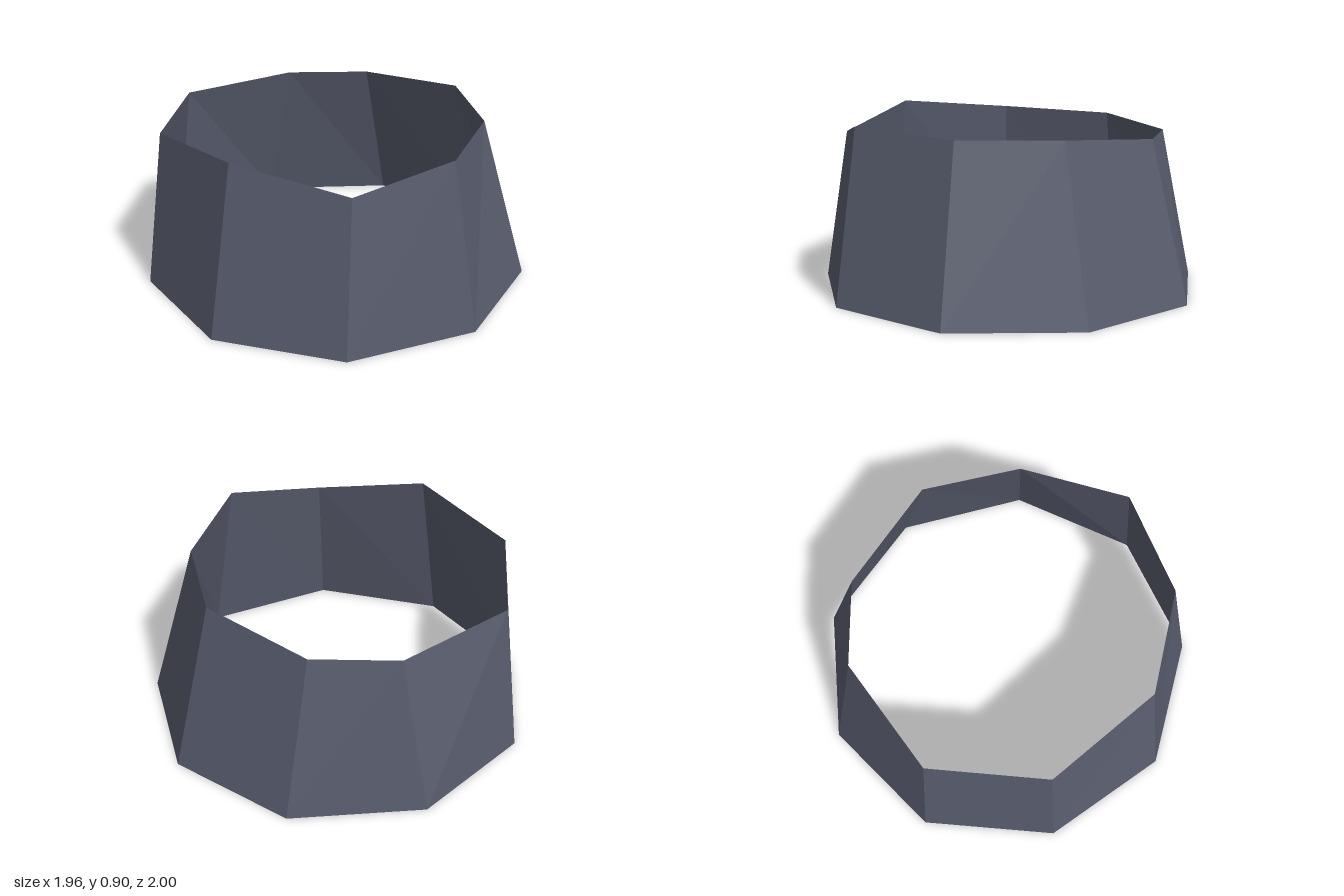
import * as THREE from 'three';

export function createModel() {
  const group = new THREE.Group();
  group.name = 'taperedRing';

  const slate = new THREE.MeshStandardMaterial({ color: 0x575b6c, flatShading: true, side: THREE.DoubleSide });
  slate.name = 'slate';

  // Uneven upper rim, one corner above each corner of the base
  const rim = [
    [0.84, 0.895, 0.04], [0.66, 0.8, 0.54], [0.15, 0.905, 0.85],
    [-0.49, 0.84, 0.785], [-0.885, 0.825, 0.305], [-0.785, 0.81, -0.34],
    [-0.47, 0.82, -0.655], [0.125, 0.87, -0.755], [0.57, 0.87, -0.48],
  ];
  const sides = rim.length;

  // Regular nine-sided base on the ground
  const base = rim.map((_, i) => {
    const a = (i / sides) * Math.PI * 2;
    return [1.013 * Math.cos(a) - 0.031, 0, 1.013 * Math.sin(a)];
  });

  // Open wall: two flat triangles per side
  const positions = [];
  for (let i = 0; i < sides; i++) {
    const j = (i + 1) % sides;
    positions.push(...base[i], ...rim[i], ...base[j]);
    positions.push(...rim[i], ...rim[j], ...base[j]);
  }
  const geometry = new THREE.BufferGeometry();
  geometry.setAttribute('position', new THREE.Float32BufferAttribute(positions, 3));
  geometry.computeVertexNormals();

  const wall = new THREE.Mesh(geometry, slate);
  wall.name = 'wall';
  group.add(wall);
  return group;
}
